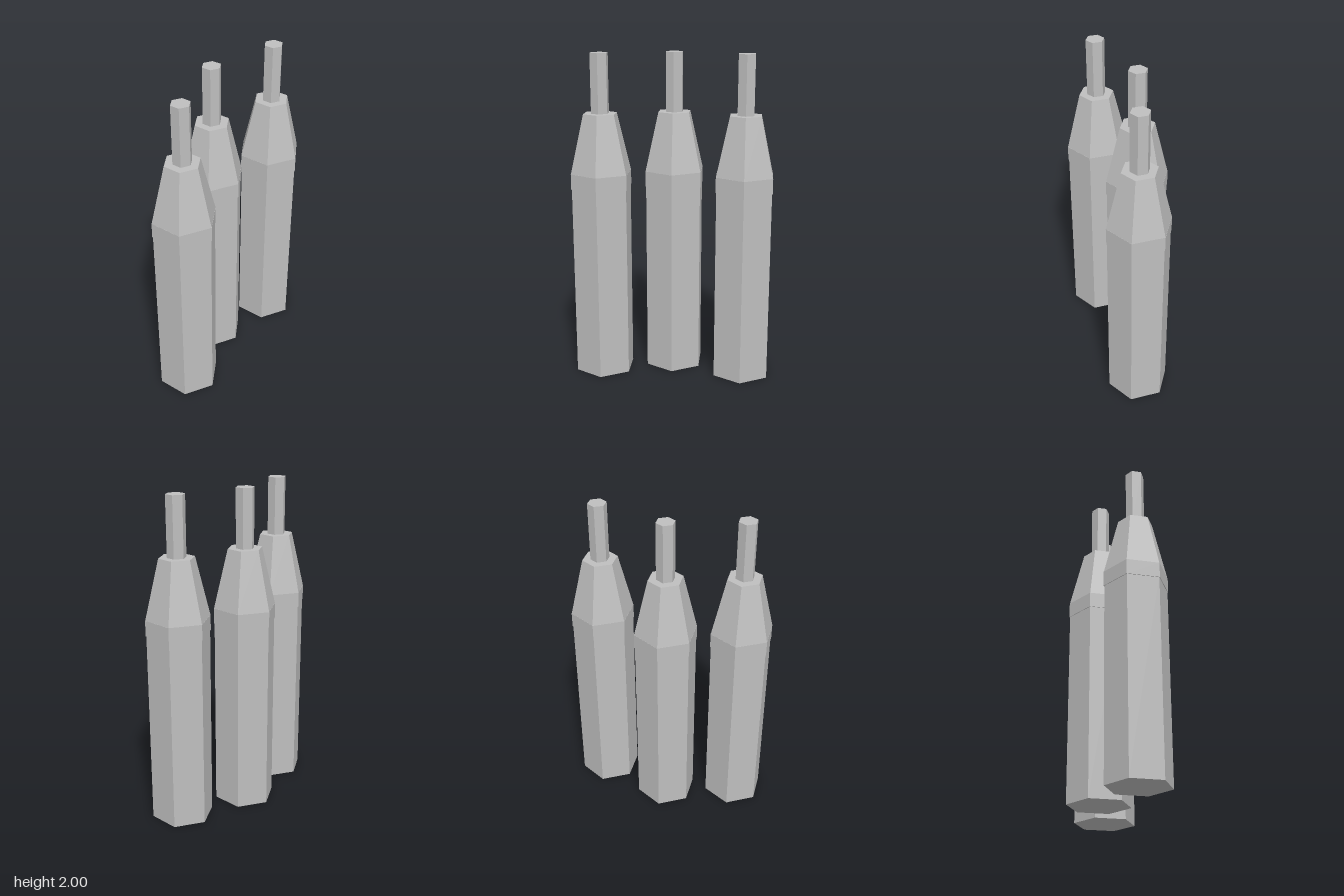
import * as THREE from 'three';

const grey = new THREE.MeshStandardMaterial({ color: 0xbebebe, flatShading: true });
grey.name = 'plain grey';

// Six-sided section between two heights, with corners on the z axis
function hexSection(name, rTop, rBottom, y0, y1) {
  const geometry = new THREE.CylinderGeometry(rTop, rBottom, y1 - y0, 6);
  geometry.translate(0, (y0 + y1) / 2, 0);
  const mesh = new THREE.Mesh(geometry, grey);
  mesh.name = name;
  return mesh;
}

function makePillar(name, x, z) {
  const pillar = new THREE.Group();
  pillar.name = name;
  pillar.add(
    hexSection('body', 0.191, 0.191, 0, 1.2),
    hexSection('collar', 0.195, 0.195, 1.19, 1.284), // slightly proud of the body
    hexSection('taper', 0.107, 0.194, 1.284, 1.642),
    hexSection('tip', 0.057, 0.057, 1.642, 2),
  );
  pillar.position.set(x, 0, z);
  return pillar;
}

export function createModel() {
  const model = new THREE.Group();
  model.name = 'threePillars';
  model.add(
    makePillar('leftPillar', 0.436, 0.063),
    makePillar('middlePillar', 0, -0.063),
    makePillar('rightPillar', -0.436, 0.063),
  );
  return model;
}
